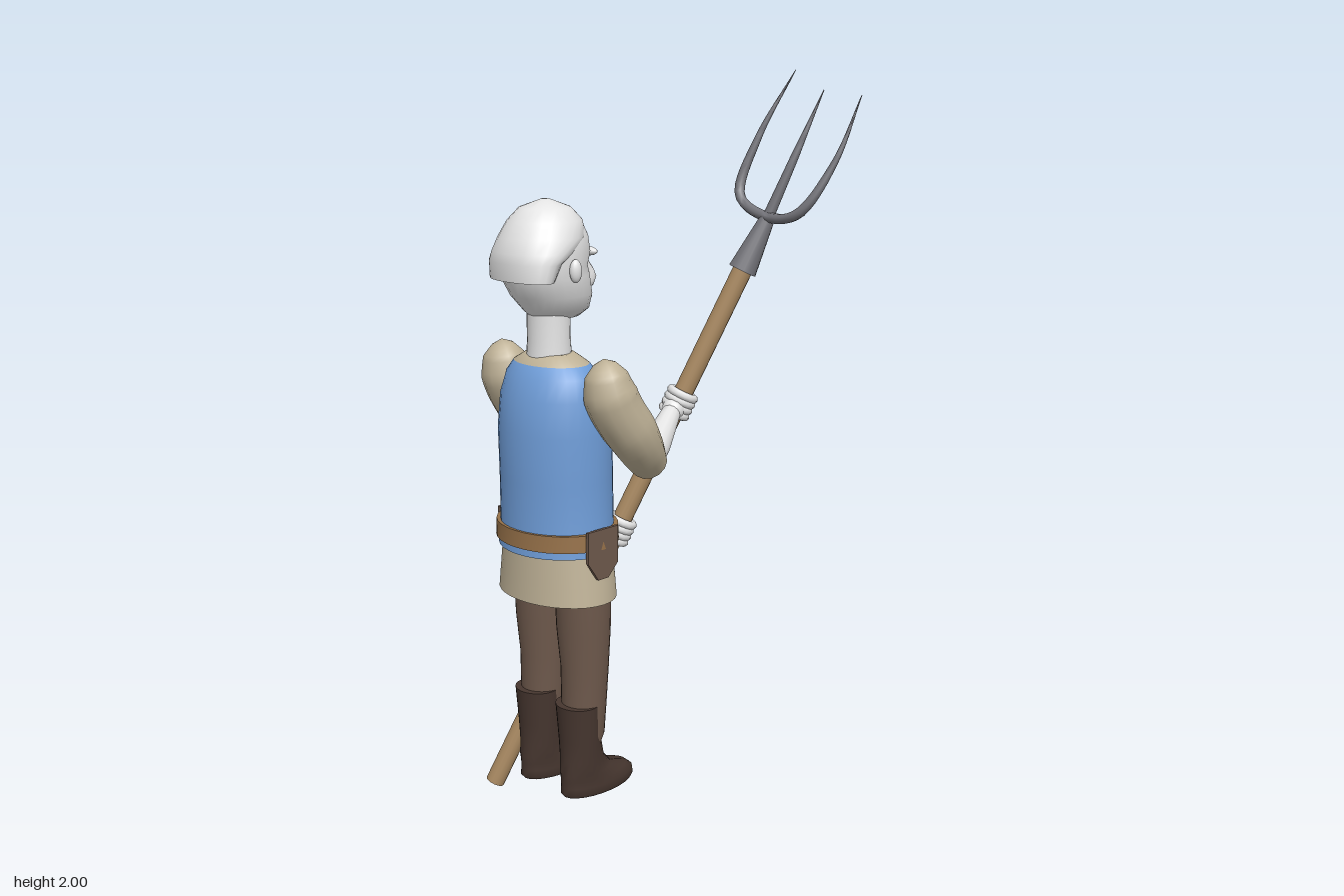
import * as THREE from 'three';
import { toCreasedNormals } from 'three/addons/utils/BufferGeometryUtils.js';

const mat = (name, color) => {
  const m = new THREE.MeshStandardMaterial({ color });
  m.name = name;
  return m;
};
const V = (p) => new THREE.Vector3(...p);

// Stacked oval rings [y, xBack, xFront, halfZ]; pick(row, angle) gives a material index
function loft(rings, cz, n = 24, pick = () => 0) {
  const pos = [], faces = [];
  rings.forEach(([y, xb, xf, hz]) => {
    for (let j = 0; j < n; j++) {
      const a = (j / n) * Math.PI * 2;
      pos.push((xb + xf) / 2 + Math.cos(a) * (xf - xb) / 2, y, cz - Math.sin(a) * hz);
    }
  });
  for (let i = 0; i < rings.length - 1; i++) {
    for (let j = 0; j < n; j++) {
      const a = i * n + j, b = i * n + (j + 1) % n;
      const mid = Math.abs((((j + 0.5) / n + 0.5) % 1 - 0.5) * Math.PI * 2);
      faces.push([pick(i, mid), [a, b, b + n, a, b + n, a + n]]);
    }
  }
  // Flat caps
  [0, rings.length - 1].forEach((i) => {
    const [y, xb, xf] = rings[i], c = pos.length / 3;
    pos.push((xb + xf) / 2, y, cz);
    for (let j = 0; j < n; j++) {
      const a = i * n + j, b = i * n + (j + 1) % n;
      faces.push([pick(i, 3), i ? [a, b, c] : [b, a, c]]);
    }
  });
  faces.sort((p, q) => p[0] - q[0]);
  const g = new THREE.BufferGeometry();
  g.setAttribute('position', new THREE.Float32BufferAttribute(pos, 3));
  const index = [];
  faces.forEach(([m, f]) => {
    g.addGroup(index.length, f.length, m);
    index.push(...f);
  });
  g.setIndex(index);
  return toCreasedNormals(g, 0.9);
}

// Tube along a curve whose radius follows [t, r] pairs
function limb(points, radii, sides = 14, seg = 28) {
  const curve = new THREE.CatmullRomCurve3(points.map(V));
  const g = new THREE.TubeGeometry(curve, seg, 1, sides);
  const p = g.attributes.position, v = new THREE.Vector3();
  for (let i = 0; i <= seg; i++) {
    const t = i / seg, c = curve.getPointAt(t);
    let k = 1;
    while (k < radii.length - 1 && radii[k][0] < t) k++;
    const [t0, r0] = radii[k - 1], [t1, r1] = radii[k];
    const r = THREE.MathUtils.lerp(r0, r1, (t - t0) / (t1 - t0));
    for (let j = 0; j <= sides; j++) {
      const id = i * (sides + 1) + j;
      v.fromBufferAttribute(p, id).sub(c).multiplyScalar(r).add(c);
      p.setXYZ(id, v.x, v.y, v.z);
    }
  }
  return toCreasedNormals(g, 0.9);
}

export function createModel() {
  const root = new THREE.Group();
  const skin = mat('pale skin', 0xe4e4e4), shirt = mat('linen shirt', 0xbfb297);
  const vest = mat('blue vest', 0x6f9dd8), trousers = mat('brown trousers', 0x6e594c);
  const boots = mat('dark boots', 0x46362f), leather = mat('belt leather', 0x967149);
  const wood = mat('wood', 0xaa8a62), iron = mat('iron', 0x75757b);
  const add = (name, geo, material, parent = root) => {
    const m = new THREE.Mesh(geo, material);
    m.name = name;
    parent.add(m);
    return m;
  };
  const ball = (name, material, p, s) => {
    const m = add(name, new THREE.SphereGeometry(1, 18, 12), material);
    m.position.set(...p);
    m.scale.set(...s);
    return m;
  };
  const CZ = -0.083;

  // Head, hair cap and face
  add('head', loft([
    [1.39, -0.34, -0.20, 0.05], [1.41, -0.36, -0.175, 0.075], [1.45, -0.395, -0.172, 0.097],
    [1.50, -0.425, -0.182, 0.104], [1.525, -0.43, -0.19, 0.105], [1.56, -0.43, -0.18, 0.107],
    [1.60, -0.415, -0.187, 0.102], [1.64, -0.39, -0.207, 0.087], [1.67, -0.36, -0.24, 0.06],
    [1.685, -0.31, -0.29, 0.008]], CZ), skin);
  add('hair', loft([
    [1.495, -0.435, -0.33, 0.108], [1.54, -0.44, -0.30, 0.115], [1.565, -0.437, -0.25, 0.117],
    [1.60, -0.424, -0.205, 0.112], [1.64, -0.40, -0.205, 0.094], [1.672, -0.368, -0.235, 0.065],
    [1.693, -0.31, -0.29, 0.008]], CZ), skin);
  add('nose', limb([[-0.195, 1.56, CZ], [-0.168, 1.51, CZ], [-0.155, 1.478, CZ], [-0.18, 1.455, CZ]],
    [[0, 0.01], [0.5, 0.018], [0.75, 0.023], [1, 0.012]], 10, 10), skin);
  ball('lips', skin, [-0.176, 1.435, CZ], [0.012, 0.012, 0.035]);
  for (const s of [-1, 1]) {
    ball('ear', skin, [-0.302, 1.52, CZ + s * 0.113], [0.017, 0.03, 0.014]);
    ball('brow', skin, [-0.193, 1.555, CZ + s * 0.04], [0.015, 0.012, 0.034]);
  }
  add('neck', loft([[1.26, -0.355, -0.235, 0.063], [1.33, -0.35, -0.24, 0.058],
    [1.43, -0.35, -0.24, 0.058]], CZ), skin);

  // Torso: vest with an open front and shirt collar
  add('torso', loft([
    [0.78, -0.42, -0.133, 0.17], [0.85, -0.415, -0.138, 0.163], [0.97, -0.417, -0.137, 0.16],
    [1.10, -0.418, -0.14, 0.162], [1.19, -0.408, -0.152, 0.155], [1.245, -0.388, -0.178, 0.14],
    [1.275, -0.37, -0.205, 0.115], [1.30, -0.345, -0.235, 0.07]], CZ, 32,
  (row, a) => ((row >= 2 && a < 0.4) || row >= 6 ? 1 : 0)), [vest, shirt]);
  add('shirtSkirt', loft([[0.65, -0.412, -0.145, 0.183], [0.70, -0.41, -0.145, 0.176],
    [0.81, -0.405, -0.15, 0.16]], CZ, 32), shirt);
  add('belt', loft([[0.80, -0.425, -0.128, 0.18], [0.845, -0.423, -0.13, 0.178]], CZ, 32), leather);
  add('buckle', new THREE.BoxGeometry(0.016, 0.06, 0.045), leather).position.set(-0.132, 0.822, CZ);

  // Side patches tucked under the belt
  const patch = new THREE.Shape([[-0.055, 0.065], [0.05, 0.065], [0.05, -0.035], [0.015, -0.07],
    [-0.02, -0.07], [-0.055, -0.02]].map((p) => new THREE.Vector2(...p)));
  const patchGeo = new THREE.ExtrudeGeometry(patch, { depth: 0.009, bevelEnabled: false });
  for (const s of [-1, 1]) {
    add('hipPatch', patchGeo, trousers).position.set(-0.275, 0.79, CZ + s * 0.1745 - 0.0045);
  }

  // Legs and boots
  for (const cz of [0.005, -0.16]) {
    add('trouserLeg', loft([[0.22, -0.32, -0.238, 0.052], [0.26, -0.325, -0.215, 0.058],
      [0.36, -0.33, -0.205, 0.061], [0.45, -0.328, -0.2, 0.066], [0.56, -0.338, -0.195, 0.074],
      [0.72, -0.345, -0.19, 0.077]], cz), trousers);
    add('boot', loft([[0.088, -0.34, -0.103, 0.056], [0.096, -0.347, -0.097, 0.06],
      [0.115, -0.345, -0.10, 0.06], [0.135, -0.345, -0.125, 0.058], [0.155, -0.345, -0.185, 0.056],
      [0.19, -0.34, -0.215, 0.057], [0.25, -0.34, -0.23, 0.06], [0.35, -0.348, -0.235, 0.063]], cz), boots);
  }

  // Fork shaft, socket and tines
  const low = V([-0.31, 0.01, -0.33]), high = V([0.258, 1.49, 0.1]);
  const dir = high.clone().sub(low).normalize();
  const turn = new THREE.Quaternion().setFromUnitVectors(V([0, 1, 0]), dir);
  const strut = (name, a, b, r0, r1, material) => {
    const m = add(name, new THREE.CylinderGeometry(r1, r0, a.distanceTo(b), 16), material);
    m.position.copy(a).lerp(b, 0.5);
    m.quaternion.copy(turn);
  };
  strut('forkShaft', low, high, 0.027, 0.027, wood);
  const neckTop = high.clone().addScaledVector(dir, 0.14);
  strut('forkSocket', high.clone().addScaledVector(dir, -0.02), neckTop, 0.039, 0.02, iron);
  add('outerTines', limb([[0.41, 1.94, 0.36], [0.35, 1.77, 0.325], [0.29, 1.635, 0.255],
    [0.297, 1.617, 0.14], [0.31, 1.668, 0.03], [0.36, 1.82, 0.05], [0.435, 2.0, 0.115]],
  [[0, 0.001], [0.25, 0.011], [0.35, 0.014], [0.65, 0.014], [0.75, 0.011], [1, 0.001]], 8, 48), iron);
  add('middleTine', limb([[0.297, 1.6, 0.135], [0.35, 1.77, 0.185], [0.415, 1.95, 0.23]],
    [[0, 0.016], [0.5, 0.011], [1, 0.001]], 8, 16), iron);

  // Arms: puffed sleeve, bare forearm, fist closed round the shaft
  const arms = [
    { sleeve: [[-0.28, 1.305, 0.105], [-0.262, 1.2, 0.115], [-0.19, 1.09, 0.122], [-0.095, 0.99, 0.088]], wrist: [0.075, 1.093, 0.0], gripY: 1.11 },
    { sleeve: [[-0.28, 1.305, -0.29], [-0.265, 1.2, -0.284], [-0.21, 1.1, -0.28], [-0.14, 0.975, -0.232]], wrist: [-0.045, 0.785, -0.138], gripY: 0.755 },
  ];
  for (const { sleeve, wrist, gripY } of arms) {
    add('sleeve', limb(sleeve, [[0, 0], [0.036, 0.03], [0.108, 0.055], [0.25, 0.07], [0.55, 0.07],
      [0.8, 0.06], [0.964, 0.05], [1, 0]]), shirt);
    const elbow = V(sleeve[3]).lerp(V(sleeve[2]), 0.15);
    const mid = elbow.clone().lerp(V(wrist), 0.5);
    add('forearm', limb([elbow.toArray(), mid.toArray(), wrist],
      [[0, 0.038], [0.3, 0.04], [1, 0.026]]), skin);
    const hand = new THREE.Group();
    hand.name = 'hand';
    hand.position.copy(low).addScaledVector(dir, (gripY - low.y) / dir.y);
    hand.quaternion.copy(turn);
    root.add(hand);
    for (let i = 0; i < 4; i++) {
      const finger = add('finger', new THREE.TorusGeometry(0.034, 0.012, 8, 14), skin, hand);
      finger.rotation.x = Math.PI / 2;
      finger.position.y = (i - 1.5) * 0.018;
    }
    ball('palm', skin, hand.position.clone().lerp(V(wrist), 0.75).toArray(), [0.032, 0.032, 0.032]);
  }
  return root;
}
